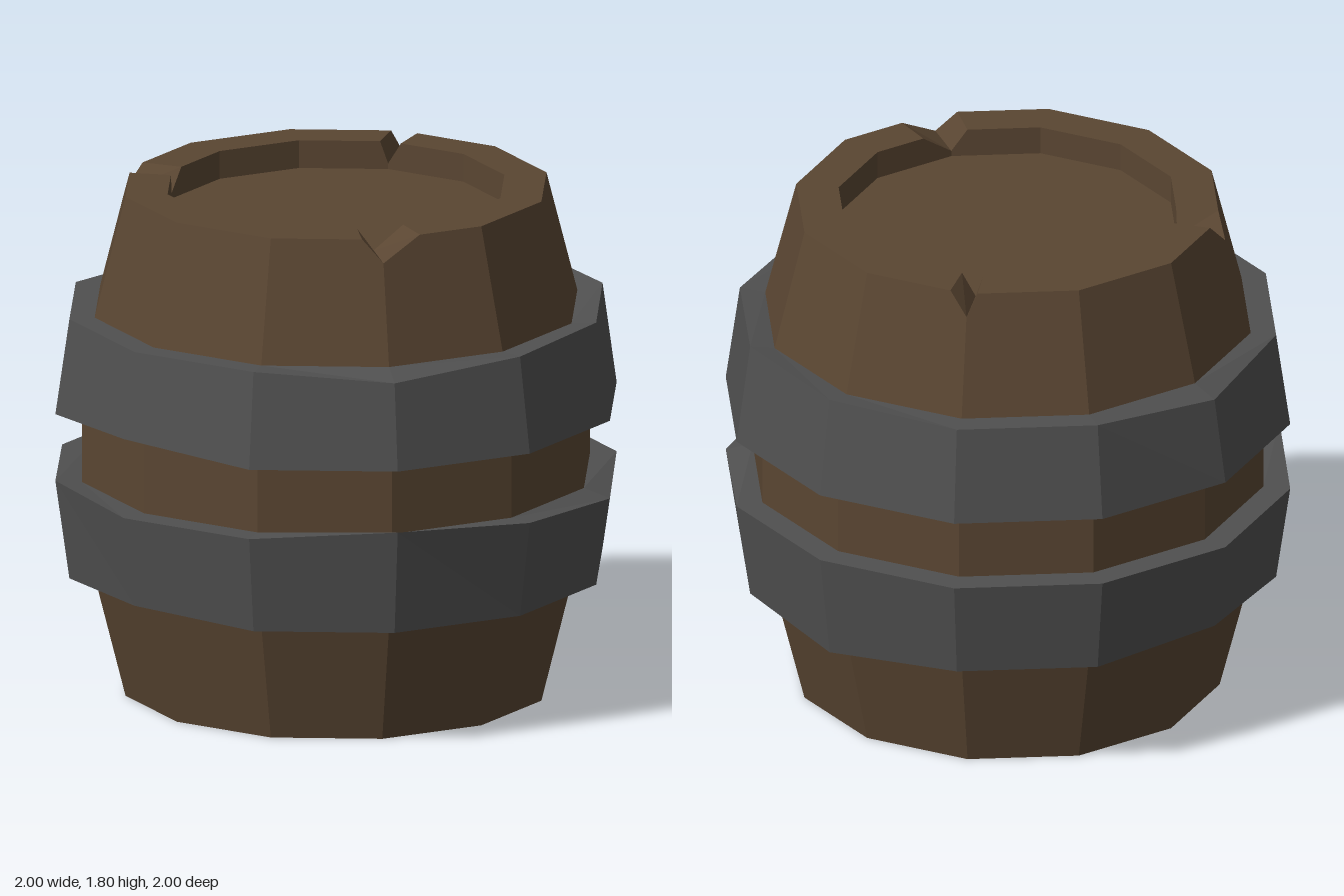
import * as THREE from 'three';

const SIDES = 12;

// Corner (or a point t of the way along the edge towards corner k + dir) of a 12-sided ring
function ringPoint(r, y, k, dir = 0, t = 0) {
  const corner = (i) => {
    const a = (i / SIDES) * Math.PI * 2;
    return new THREE.Vector3(r * Math.cos(a), y, r * Math.sin(a));
  };
  return corner(k).lerp(corner(k + dir), t);
}

// Flat-shaded skin over a stack of closed rings with equal point counts
function loft(rings, color, name) {
  const pos = [];
  const tri = (...pts) => pts.forEach((p) => pos.push(p.x, p.y, p.z));
  for (let j = 0; j < rings.length - 1; j++) {
    const lo = rings[j], hi = rings[j + 1];
    for (let i = 0; i < lo.length; i++) {
      const n = (i + 1) % lo.length;
      tri(lo[i], hi[i], hi[n]);
      tri(lo[i], hi[n], lo[n]);
    }
  }
  const geo = new THREE.BufferGeometry();
  geo.setAttribute('position', new THREE.Float32BufferAttribute(pos, 3));
  geo.computeVertexNormals();
  const mesh = new THREE.Mesh(geo, new THREE.MeshStandardMaterial({ color, flatShading: true }));
  mesh.name = name;
  return mesh;
}

// Notches in the top rim: corner -> width along the edge before and after it
const NOTCHES = { 1: [0.38, 0.18], 5: [0.18, 0.2], 8: [0.09, 0.17] };

// Body ring; notched corners get side points, and drop to (notchR, notchY) on the rim
function bodyRing([r, y, notchR = r, notchY = y]) {
  const pts = [];
  for (let k = 0; k < SIDES; k++) {
    const w = NOTCHES[k];
    if (w) pts.push(ringPoint(r, y, k, -1, w[0]));
    pts.push(w ? ringPoint(notchR, notchY, k) : ringPoint(r, y, k));
    if (w) pts.push(ringPoint(r, y, k, 1, w[1]));
  }
  return pts;
}

// Hoop: inner and outer rings, with small dents given as corner -> height offset
function hoop(name, bottom, top, dentsBottom, dentsTop) {
  const ring = ([r, y], dents = {}) =>
    Array.from({ length: SIDES }, (_, k) => ringPoint(r, y + (dents[k] || 0), k));
  const [inB, outB, yB] = bottom, [inT, outT, yT] = top;
  return loft([
    ring([inB, yB]), ring([outB, yB], dentsBottom),
    ring([outT, yT], dentsTop), ring([inT, yT]),
  ], 0x505050, name);
}

export function createModel() {
  const model = new THREE.Group();
  model.name = 'barrel';

  // Wooden body from the recessed base, up the staves, to the recessed lid
  const profile = [
    [0, 0.09], [0.6, 0.09], [0.6, 0], [0.75, 0],
    [0.86, 0.435], [0.905, 0.78], [0.905, 1.03], [0.86, 1.37],
    [0.75, 1.8, 0.77, 1.72], [0.6, 1.8, 0.6, 1.72], [0.6, 1.7], [0, 1.7],
  ];
  model.add(loft(profile.map(bodyRing), 0x5a4632, 'woodenBody'));

  // Metal hoops, flaring towards the middle
  model.add(hoop('lowerHoop', [0.86, 0.95, 0.435], [0.905, 1, 0.78],
    { 3: 0.02, 6: 0.025, 9: -0.03 }, { 1: 0.03, 4: 0.01, 11: -0.03 }));
  model.add(hoop('upperHoop', [0.905, 1, 1.03], [0.86, 0.95, 1.37],
    { 3: 0.035 }, { 1: -0.035, 6: -0.035, 9: 0.012, 10: 0.02, 11: 0.01 }));

  return model;
}
